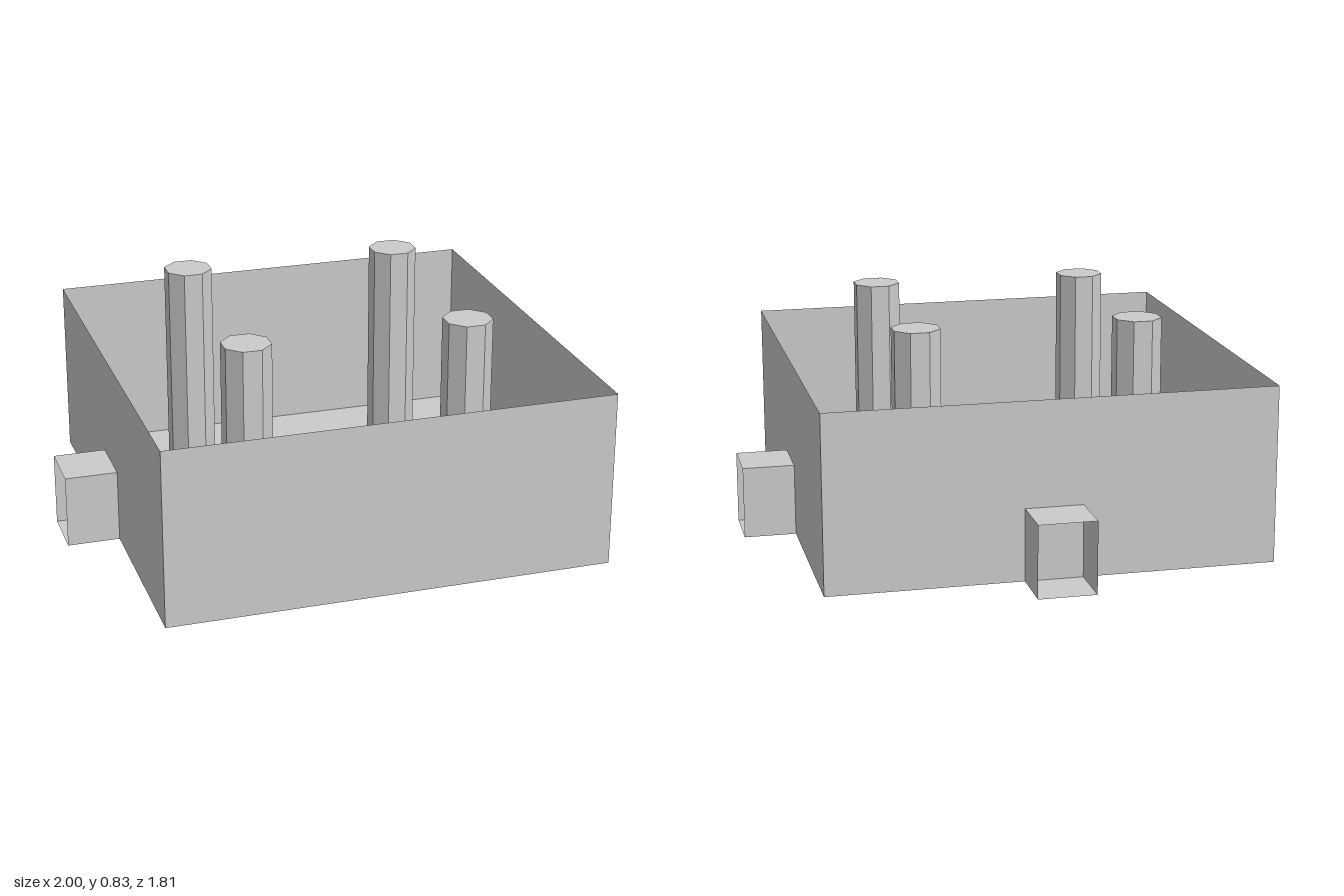
import * as THREE from 'three';

const material = new THREE.MeshStandardMaterial({
  color: 0xcccccc, flatShading: true, side: THREE.DoubleSide,
});

// Thin-walled box standing on y = 0, keeping only the listed sides
// (0 +x, 1 -x, 2 +y, 3 -y, 4 +z, 5 -z).
function shell(name, w, h, d, sides) {
  const geometry = new THREE.BoxGeometry(w, h, d).translate(0, h / 2, 0);
  const index = Array.from(geometry.index.array);
  geometry.setIndex(sides.flatMap((s) => index.slice(s * 6, s * 6 + 6)));
  geometry.clearGroups();
  const mesh = new THREE.Mesh(geometry, material);
  mesh.name = name;
  return mesh;
}

export function createModel() {
  const model = new THREE.Group();
  model.name = 'enclosure';

  const size = 1.62, height = 0.65, centreZ = 0.095;
  const half = size / 2;

  // Open-topped tray
  const tray = shell('tray', size, height, size, [0, 1, 3, 4, 5]);
  tray.position.z = centreZ;
  model.add(tray);

  // Square port sleeves, open at the outer end
  const depth = 0.19, width = 0.21, portHeight = 0.265;
  const reach = half + depth / 2;
  const ports = [
    ['leftPort', reach, 0, Math.PI / 2],
    ['rightPort', -reach, 0, -Math.PI / 2],
    ['backPort', 0, -reach, Math.PI],
  ];
  for (const [name, x, z, turn] of ports) {
    const port = shell(name, width, portHeight, depth, [0, 1, 2, 3]);
    port.position.set(x, 0, centreZ + z);
    port.rotation.y = turn;
    model.add(port);
  }

  // Four octagonal posts rising from the floor past the rim
  const postHeight = 0.83, radius = 0.09, offset = 0.406;
  const postGeometry = new THREE.CylinderGeometry(radius, radius, postHeight, 8)
    .rotateY(Math.PI / 8)
    .translate(0, postHeight / 2, 0);
  for (const sx of [-1, 1]) {
    for (const sz of [-1, 1]) {
      const post = new THREE.Mesh(postGeometry, material);
      post.name = (sz > 0 ? 'front' : 'back') + (sx > 0 ? 'Left' : 'Right') + 'Post';
      post.position.set(sx * offset, 0, centreZ + sz * offset);
      model.add(post);
    }
  }

  return model;
}
